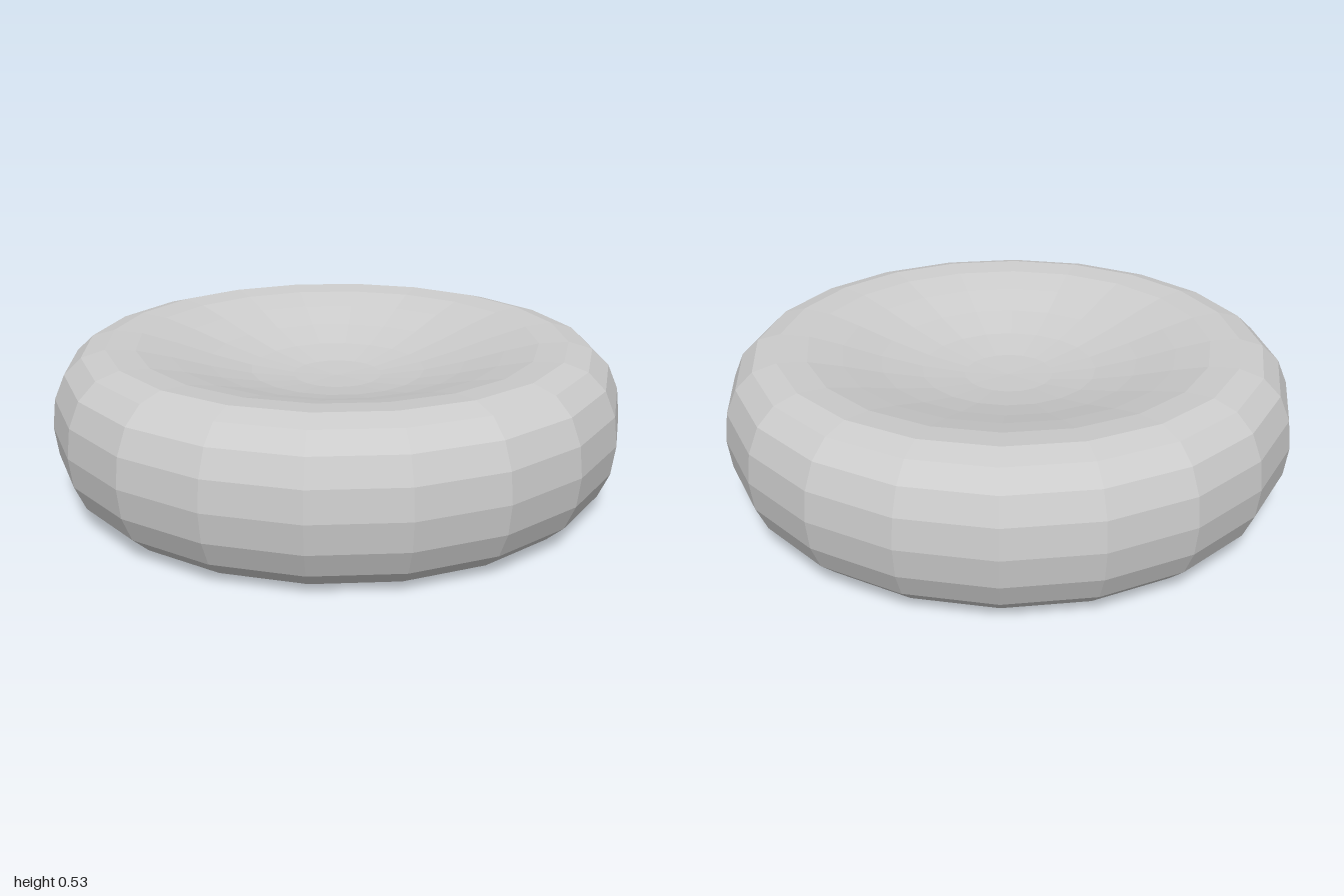
import * as THREE from 'three';

const SIDES = 20;
const RINGS = 20;

// Half thickness of the disc: a sphere's height, pinched towards the axis
const pinch = (r) => 0.12 + 0.54 * Math.pow(r, 2.3);

export function createModel() {
  const group = new THREE.Group();

  // Profile from the bottom centre, round the rim, to the top centre
  const profile = [];
  for (let i = 0; i <= RINGS; i++) {
    const angle = (i / RINGS) * Math.PI;
    const r = i === 0 || i === RINGS ? 0 : Math.sin(angle);
    profile.push(new THREE.Vector2(r, -Math.cos(angle) * pinch(r)));
  }

  // Faceted disc, dimpled on both faces
  const disc = new THREE.Mesh(
    new THREE.LatheGeometry(profile, SIDES),
    new THREE.MeshStandardMaterial({ color: 0xcccccc, flatShading: true })
  );
  disc.name = 'dimpledDisc';
  disc.position.y = Math.max(...profile.map((p) => p.y));
  group.add(disc);

  return group;
}
